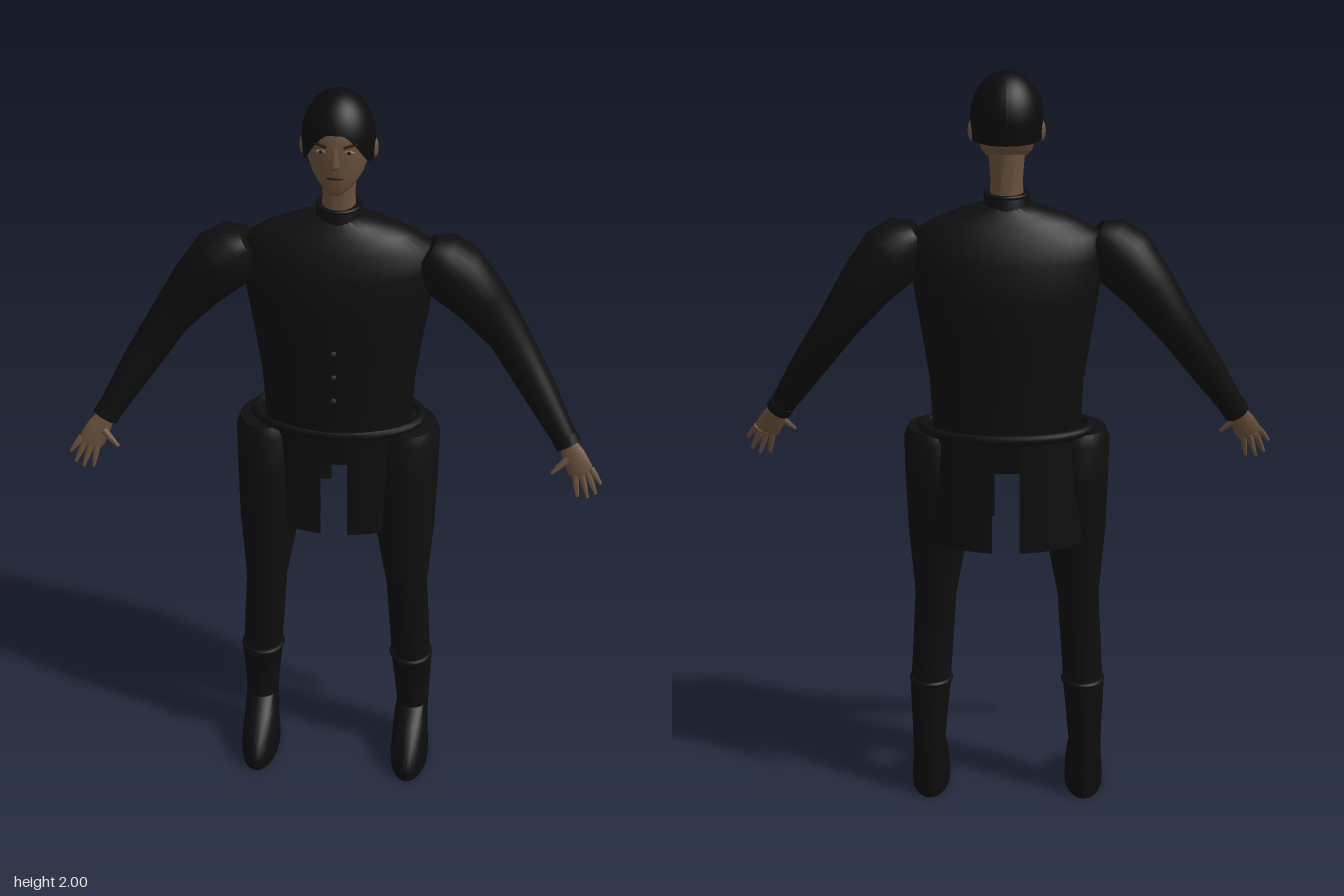
import * as THREE from 'three';
import { toCreasedNormals } from 'three/addons/utils/BufferGeometryUtils.js';

const mat = (name, color, side = THREE.FrontSide) => {
  const m = new THREE.MeshStandardMaterial({ color, side });
  m.name = name;
  return m;
};

// Loft through elliptical rings [x, y, z, ru, rv]; rings lie flat or follow the path.
function loft(rings, flat = true, n = 28) {
  const pts = rings.map(r => new THREE.Vector3(r[0], r[1], r[2]));
  const all = rings.map((r, i) => {
    const d = flat ? new THREE.Vector3(0, 1, 0)
      : pts[Math.min(i + 1, pts.length - 1)].clone().sub(pts[Math.max(i - 1, 0)]).normalize();
    const u = d.clone().cross(new THREE.Vector3(0, 0, 1)).normalize();
    return { c: pts[i], u, v: u.clone().cross(d), ru: r[3], rv: r[4] };
  });
  // close both ends
  all.unshift({ ...all[0], ru: 0, rv: 0 });
  all.push({ ...all[all.length - 1], ru: 0, rv: 0 });
  const pos = [], idx = [];
  all.forEach(({ c, u, v, ru, rv }, i) => {
    for (let j = 0; j < n; j++) {
      const a = j / n * Math.PI * 2;
      const p = c.clone().addScaledVector(u, ru * Math.cos(a)).addScaledVector(v, rv * Math.sin(a));
      pos.push(p.x, p.y, p.z);
      if (i === all.length - 1) continue;
      const k = (j + 1) % n, A = i * n + j, B = i * n + k;
      if (i > 0) idx.push(A, A + n, B);
      if (i === 0) idx.push(A, A + n, B + n);
      else if (i < all.length - 2) idx.push(B, A + n, B + n);
    }
  });
  const g = new THREE.BufferGeometry();
  g.setAttribute('position', new THREE.Float32BufferAttribute(pos, 3));
  g.setIndex(idx);
  return toCreasedNormals(g, 0.8);
}

export function createModel() {
  const root = new THREE.Group();
  root.name = 'figure';
  const cloth = mat('black cloth', 0x0e0e0e);
  const skirtCloth = mat('black skirt cloth', 0x0e0e0e, THREE.DoubleSide);
  const boot = mat('black leather', 0x0c0c0c);
  const hair = mat('black hair', 0x0b0b0b, THREE.DoubleSide);
  const skin = mat('brown skin', 0x69503c);
  const eye = mat('tan eyes', 0x85705a);
  const dark = mat('dark brown', 0x2a1d16);
  const metal = mat('dark buttons', 0x302c28);

  const add = (name, geo, material, parent = root) => {
    const m = new THREE.Mesh(geo, material);
    m.name = name;
    parent.add(m);
    return m;
  };
  const blob = (name, material, p, s, parent = root) => {
    const m = add(name, new THREE.SphereGeometry(1, 16, 10), material, parent);
    m.position.set(...p);
    m.scale.set(...s);
    return m;
  };
  const ring = (name, x, y, z, rx, rz, t) => {
    const g = new THREE.TorusGeometry(1, t / rx, 10, 36).rotateX(Math.PI / 2).scale(rx, rx, rz);
    const m = add(name, g, cloth);
    m.position.set(x, y, z);
  };

  // Jacket
  add('jacket', loft([
    [0, 1.06, -0.035, 0.19, 0.12], [0, 1.2, -0.035, 0.198, 0.12], [0, 1.33, -0.037, 0.217, 0.126],
    [0, 1.44, -0.038, 0.235, 0.129], [0, 1.53, -0.038, 0.245, 0.12], [0, 1.59, -0.036, 0.238, 0.098],
    [0, 1.625, -0.036, 0.185, 0.078], [0, 1.65, -0.036, 0.12, 0.062], [0, 1.668, -0.036, 0.055, 0.05],
  ], true, 40), cloth);
  add('collar', loft([[0, 1.63, -0.036, 0.062, 0.06], [0, 1.685, -0.036, 0.056, 0.054],
    [0, 1.695, -0.036, 0.052, 0.05]]), cloth);
  ring('collarEdge', 0, 1.69, -0.036, 0.053, 0.05, 0.006);
  ring('jacketHem', 0, 1.075, -0.04, 0.217, 0.122, 0.013);
  for (const y of [1.19, 1.26, 1.33]) blob('button', metal, [0, y, 0.092], [0.007, 0.007, 0.004]);

  // Pelvis and split skirt
  add('pelvis', loft([[0, 0.975, -0.035, 0.16, 0.1], [0, 1.08, -0.035, 0.19, 0.115]]), cloth);
  for (const s of [1, -1]) {
    const start = s > 0 ? 0.17 : Math.PI + 0.17;
    const g = new THREE.CylinderGeometry(0.96, 1, 0.3, 28, 1, true, start, Math.PI - 0.34);
    const m = add('skirtPanel', g.scale(0.21, 1, 0.13), skirtCloth);
    m.position.set(0, 0.918, -0.04);
  }

  for (const s of [1, -1]) {
    const side = rows => rows.map(([x, ...r]) => [x * s, ...r]);

    // Legs and boots
    add('leg', loft(side([
      [0.213, 0.12, -0.01, 0.042, 0.048], [0.206, 0.32, 0.008, 0.053, 0.056], [0.19, 0.58, 0.015, 0.055, 0.06],
      [0.18, 0.77, 0.001, 0.08, 0.084], [0.182, 0.93, -0.015, 0.083, 0.092], [0.187, 1.04, -0.022, 0.08, 0.092],
      [0.19, 1.068, -0.022, 0.066, 0.078],
    ])), cloth);
    ring('bootCuff', 0.205 * s, 0.33, 0.008, 0.051, 0.054, 0.008);
    add('boot', loft(side([
      [0.21, 0, 0.055, 0.051, 0.122], [0.21, 0.03, 0.056, 0.052, 0.125], [0.21, 0.08, 0.047, 0.048, 0.112],
      [0.21, 0.12, 0.017, 0.046, 0.08], [0.212, 0.155, -0.01, 0.043, 0.05], [0.207, 0.32, 0.008, 0.055, 0.058],
    ])), boot);

    // Sleeves
    add('sleeve', loft(side([
      [0.225, 1.585, -0.02, 0.035, 0.05], [0.25, 1.568, -0.02, 0.068, 0.072], [0.29, 1.525, -0.02, 0.086, 0.08],
      [0.36, 1.445, -0.026, 0.071, 0.068], [0.435, 1.34, -0.028, 0.054, 0.052],
      [0.512, 1.222, 0.012, 0.046, 0.043], [0.6, 1.08, 0.058, 0.031, 0.028],
    ]), false), cloth);
    add('sleeveCuff', loft(side([[0.588, 1.1, 0.051, 0.035, 0.031], [0.601, 1.078, 0.059, 0.034, 0.03]]),
      false), cloth);

    // Hands
    const hand = new THREE.Group();
    hand.name = 'hand';
    root.add(hand);
    add('palm', loft(side([
      [0.598, 1.085, 0.058, 0.022, 0.016], [0.615, 1.055, 0.068, 0.031, 0.015],
      [0.634, 1.02, 0.08, 0.034, 0.012], [0.641, 1.007, 0.084, 0.029, 0.008],
    ]), false, 16), skin, hand);
    const fingers = [
      [0.662, 1.025, 0.69, 0.988], [0.652, 1.015, 0.679, 0.956],
      [0.637, 1.01, 0.658, 0.944], [0.621, 1.01, 0.632, 0.945], [0.602, 1.05, 0.562, 1.012],
    ];
    for (const [x0, y0, x1, y1] of fingers) {
      add('finger', loft(side([
        [x0, y0, 0.08, 0.009, 0.009], [(x0 + x1) / 2, (y0 + y1) / 2, 0.09, 0.008, 0.008],
        [x1, y1, 0.096, 0.004, 0.005],
      ]), false, 10), skin, hand);
    }

    // Paired face parts
    blob('ear', skin, [0.088 * s, 1.85, -0.035], [0.009, 0.026, 0.016]);
    blob('eye', eye, [0.034 * s, 1.876, 0.052], [0.014, 0.005, 0.004]);
    blob('iris', dark, [0.034 * s, 1.876, 0.055], [0.005, 0.005, 0.002]);
    const brow = add('eyebrow', new THREE.BoxGeometry(0.034, 0.005, 0.006), dark);
    brow.position.set(0.037 * s, 1.893, 0.052);
    brow.rotation.set(0, 0.4 * s, 0.15 * s);
  }

  // Neck and head
  add('neck', loft([[0, 1.66, -0.037, 0.046, 0.05], [0, 1.72, -0.036, 0.04, 0.048],
    [0, 1.8, -0.035, 0.046, 0.052]]), skin);
  add('head', loft([
    [0, 1.755, 0.012, 0.024, 0.036], [0, 1.768, 0.005, 0.04, 0.047], [0, 1.8, -0.014, 0.064, 0.071],
    [0, 1.85, -0.027, 0.08, 0.086], [0, 1.9, -0.03, 0.083, 0.088], [0, 1.94, -0.032, 0.074, 0.08],
    [0, 1.975, -0.034, 0.046, 0.05],
  ], true, 32), skin);
  add('nose', loft([[0, 1.83, 0.053, 0.011, 0.012], [0, 1.842, 0.055, 0.014, 0.018],
    [0, 1.885, 0.052, 0.006, 0.01]], true, 12), skin);
  blob('mouth', dark, [0, 1.806, 0.056], [0.022, 0.004, 0.004]);

  // Hair cap with a raised hairline over the forehead
  const cap = new THREE.PlaneGeometry(2, 1, 48, 14);
  const p = cap.attributes.position;
  for (let i = 0; i < p.count; i++) {
    const a = p.getX(i) * Math.PI, t = p.getY(i) + 0.5;
    const low = 1.922 - 0.092 * THREE.MathUtils.smoothstep(Math.abs(a), 0.15, 1.25);
    const y = low + (2 - low) * Math.sin(t * Math.PI / 2);
    const h = Math.max(0, (y - 1.88) / 0.12);
    const r = t > 0.999 ? 0 : Math.sqrt(Math.max(0, 1 - h * h)) * (y < 1.88 ? 1 - (1.88 - y) * 0.9 : 1);
    p.setXYZ(i, 0.091 * r * Math.sin(a), y, -0.031 + 0.097 * r * Math.cos(a));
  }
  cap.computeVertexNormals();
  add('hair', cap, hair);

  return root;
}
